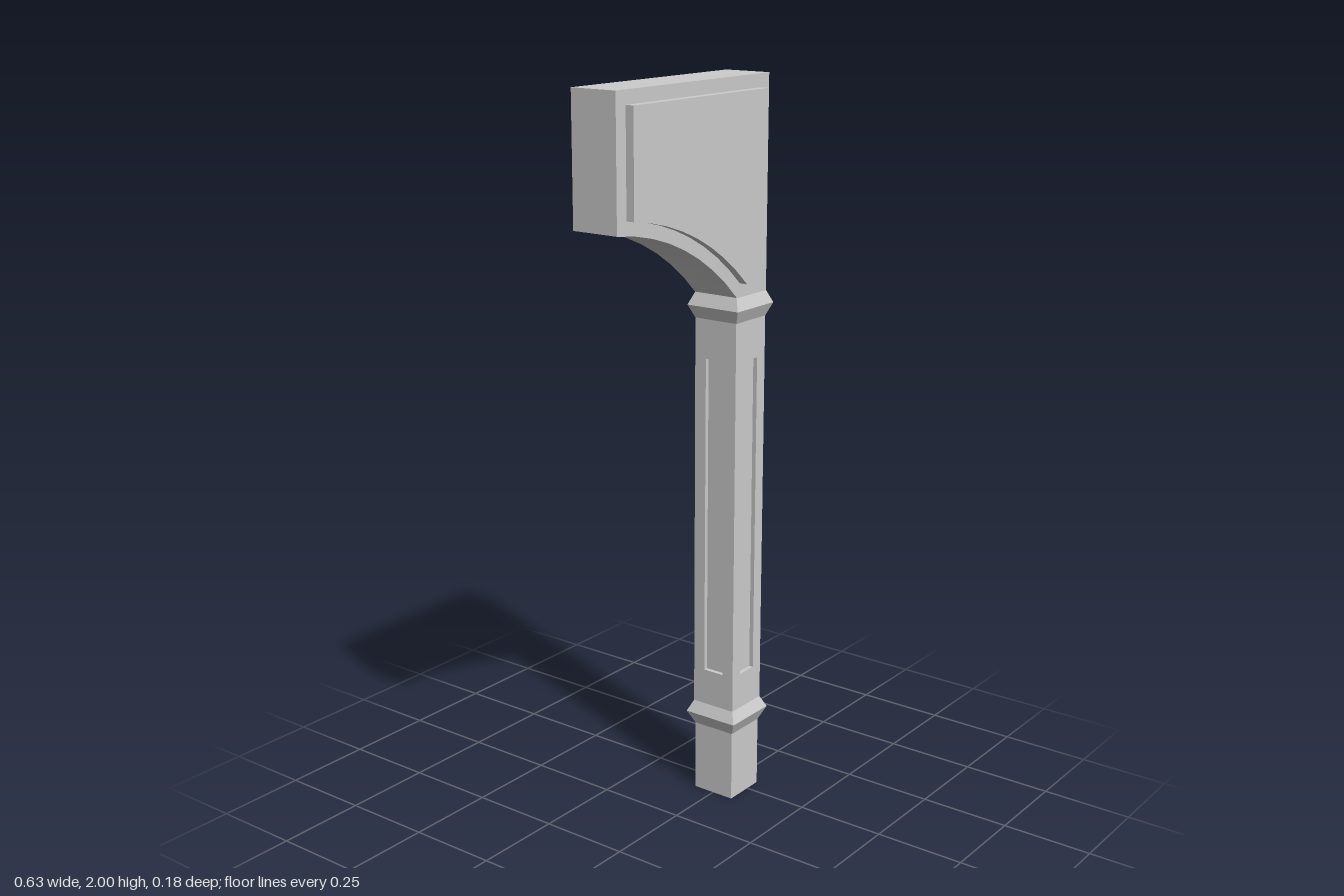
import * as THREE from 'three';

const POST_X = 0.2345;   // post axis
const HALF = 0.066;      // half width of the shaft
const RECESS = 0.012;    // depth of the sunk panels
const SHAFT = [0.27, 1.37];

const material = new THREE.MeshStandardMaterial({ color: 0xcccccc, flatShading: true });

function add(parent, name, geometry) {
  const mesh = new THREE.Mesh(geometry, material);
  mesh.name = name;
  parent.add(mesh);
  return mesh;
}

// Square block standing on the post axis between two heights
function block(parent, name, half, y0, y1) {
  add(parent, name, new THREE.BoxGeometry(half * 2, y1 - y0, half * 2)).position.y = (y0 + y1) / 2;
}

// Four-sided moulding from [half width, height] pairs
function collar(parent, name, profile) {
  const points = profile.map(([half, y]) => new THREE.Vector2(half * Math.SQRT2, y));
  add(parent, name, new THREE.LatheGeometry(points, 4, Math.PI / 4));
}

function rectangle(target, half, y0, y1) {
  target.moveTo(-half, y0).lineTo(half, y0).lineTo(half, y1).lineTo(-half, y1).closePath();
  return target;
}

// Bracket outline with a concave arc underneath, extruded evenly about z = 0
function bracketSlab(left, right, bottom, top, arcEndX, radius, halfDepth) {
  const cx = -0.385, cy = 0.886, steps = 8;
  const shape = new THREE.Shape();
  shape.moveTo(left, top);
  const a0 = Math.acos((left - cx) / radius);
  const a1 = Math.acos((arcEndX - cx) / radius);
  for (let i = 0; i <= steps; i++) {
    const a = a0 + (a1 - a0) * i / steps;
    shape.lineTo(cx + radius * Math.cos(a), cy + radius * Math.sin(a));
  }
  shape.lineTo(arcEndX, bottom).lineTo(right, bottom).lineTo(right, top).closePath();
  return new THREE.ExtrudeGeometry(shape, { depth: halfDepth * 2, bevelEnabled: false })
    .translate(0, 0, -halfDepth);
}

export function createModel() {
  const model = new THREE.Group();
  model.name = 'bracketPost';

  const post = new THREE.Group();
  post.name = 'post';
  post.position.x = POST_X;
  model.add(post);

  // Foot, and the core that forms the floor of the sunk panels
  block(post, 'foot', 0.063, 0, 0.2);
  block(post, 'shaftCore', HALF - RECESS, ...SHAFT);

  // Frames around the sunk panels on all four faces
  for (let i = 0; i < 4; i++) {
    const width = i % 2 ? HALF - RECESS : HALF;
    const frame = rectangle(new THREE.Shape(), width, ...SHAFT);
    frame.holes.push(rectangle(new THREE.Path(), 0.031, 0.372, 1.263));
    const geometry = new THREE.ExtrudeGeometry(frame, { depth: RECESS, bevelEnabled: false });
    geometry.translate(0, 0, HALF - RECESS);
    add(post, 'shaftFrame' + (i + 1), geometry).rotation.y = i * Math.PI / 2;
  }

  // Pointed mouldings below and above the shaft
  collar(post, 'lowerCollar', [[0.063, 0.2], [0.081, 0.238], [HALF, 0.27]]);
  collar(post, 'upperCollar', [[HALF, 1.37], [0.081, 1.405], [HALF, 1.44]]);

  // Curved bracket, with a thicker inset slab standing proud on both faces
  add(model, 'bracket', bracketSlab(-0.317, 0.3005, 1.438, 2, 0.1685, 0.782, 0.067));
  add(model, 'raisedPanels', bracketSlab(-0.281, 0.264, 1.475, 1.965, 0.18, 0.817, 0.09));

  return model;
}
